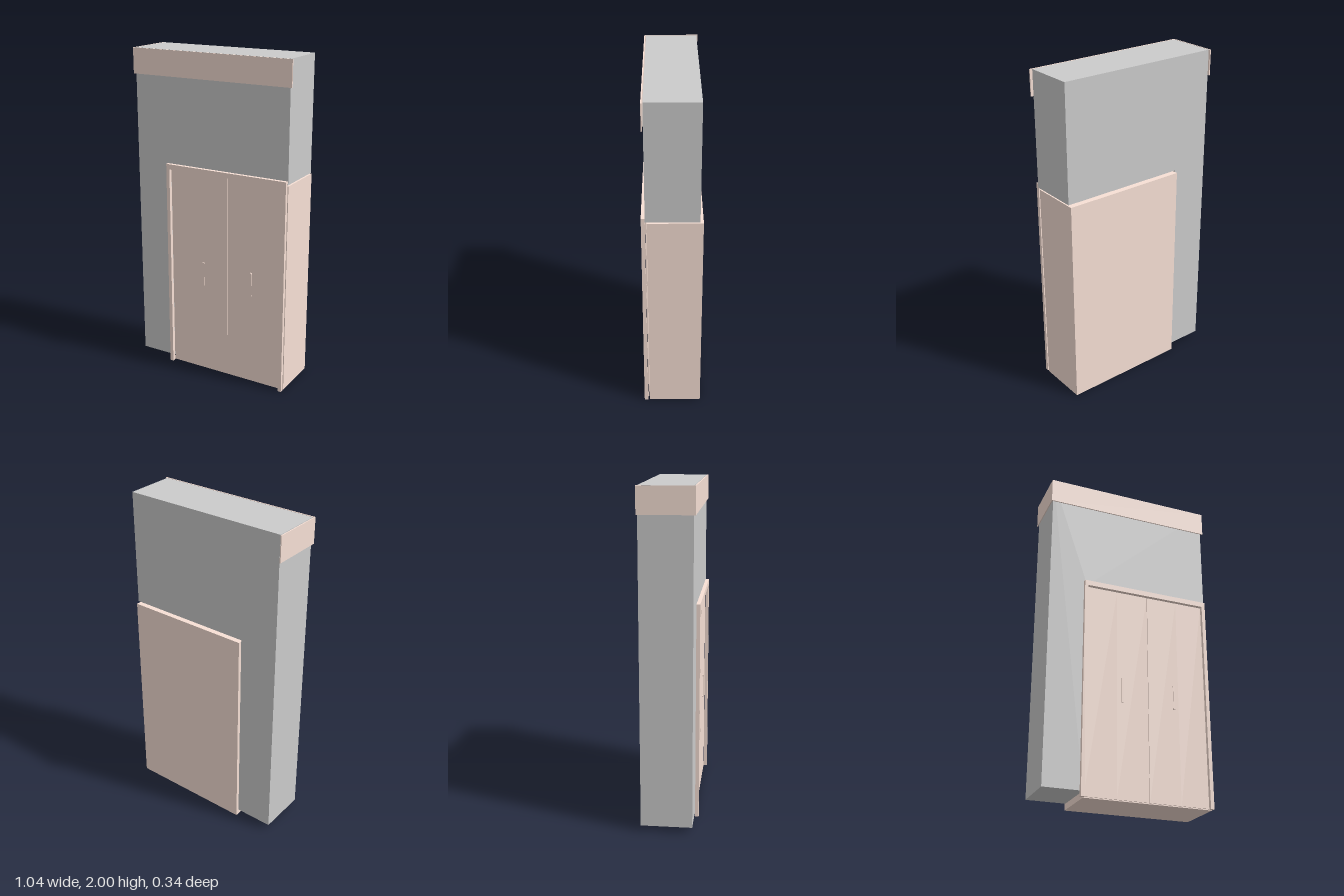
import * as THREE from 'three';

const grey = new THREE.MeshStandardMaterial({ color: 0xcccccc });
const wood = new THREE.MeshStandardMaterial({ color: 0xf7e0d5 });

// Box given by its two extreme corners
function box(name, mat, [x0, y0, z0], [x1, y1, z1]) {
  const mesh = new THREE.Mesh(new THREE.BoxGeometry(x1 - x0, y1 - y0, z1 - z0), mat);
  mesh.position.set((x0 + x1) / 2, (y0 + y1) / 2, (z0 + z1) / 2);
  mesh.name = name;
  return mesh;
}

// Outline in the front plane, extruded from z0 to z1
function slab(name, mat, points, z0, z1) {
  const shape = new THREE.Shape(points.map(([x, y]) => new THREE.Vector2(x, y)));
  const geo = new THREE.ExtrudeGeometry(shape, { depth: z1 - z0, bevelEnabled: false });
  geo.translate(0, 0, z0);
  const mesh = new THREE.Mesh(geo, mat);
  mesh.name = name;
  return mesh;
}

export function createModel() {
  const model = new THREE.Group();
  model.name = 'wallWithCloset';

  // Wall block with a corner cut away for the closet
  model.add(slab('wall', grey, [
    [-0.512, 0.035], [-0.277, 0.035], [-0.277, 1.3], [0.508, 1.3], [0.508, 2], [-0.512, 2],
  ], -0.153, 0.15));

  // Closet body
  model.add(box('closetBody', wood, [-0.275, 0, -0.172], [0.505, 1.29, 0.14]));

  // Door casing: two legs and a head in one piece
  model.add(slab('doorCasing', wood, [
    [-0.297, 0], [-0.275, 0], [-0.275, 1.29], [0.483, 1.29],
    [0.483, 0], [0.505, 0], [0.505, 1.322], [-0.297, 1.322],
  ], 0.15, 0.172));

  // Four folding door leaves, with a gap between the two pairs
  const edges = [-0.275, -0.082, 0.115, 0.31, 0.483];
  for (let i = 0; i < 4; i++) {
    const left = edges[i] + (i === 2 ? 0.0015 : 0);
    const right = edges[i + 1] - (i === 1 ? 0.0015 : 0);
    model.add(box('doorLeaf' + (i + 1), wood, [left, 0.005, 0.143], [right, 1.29, 0.149]));
  }

  // Pull handles: a grip on two short posts
  for (const x of [-0.05, 0.279]) {
    const handle = new THREE.Group();
    handle.name = 'handle';
    handle.add(box('grip', wood, [x - 0.005, 0.575, 0.154], [x + 0.005, 0.725, 0.158]));
    for (const y of [0.575, 0.717]) {
      handle.add(box('post', wood, [x - 0.005, y, 0.148], [x + 0.005, y + 0.008, 0.155]));
    }
    model.add(handle);
  }

  // Fascia boards along the top of the front and the right side
  model.add(box('frontFascia', wood, [-0.523, 1.847, 0.154], [0.521, 2, 0.161]));
  model.add(box('sideFascia', wood, [-0.523, 1.847, -0.16], [-0.517, 2, 0.154]));

  return model;
}
